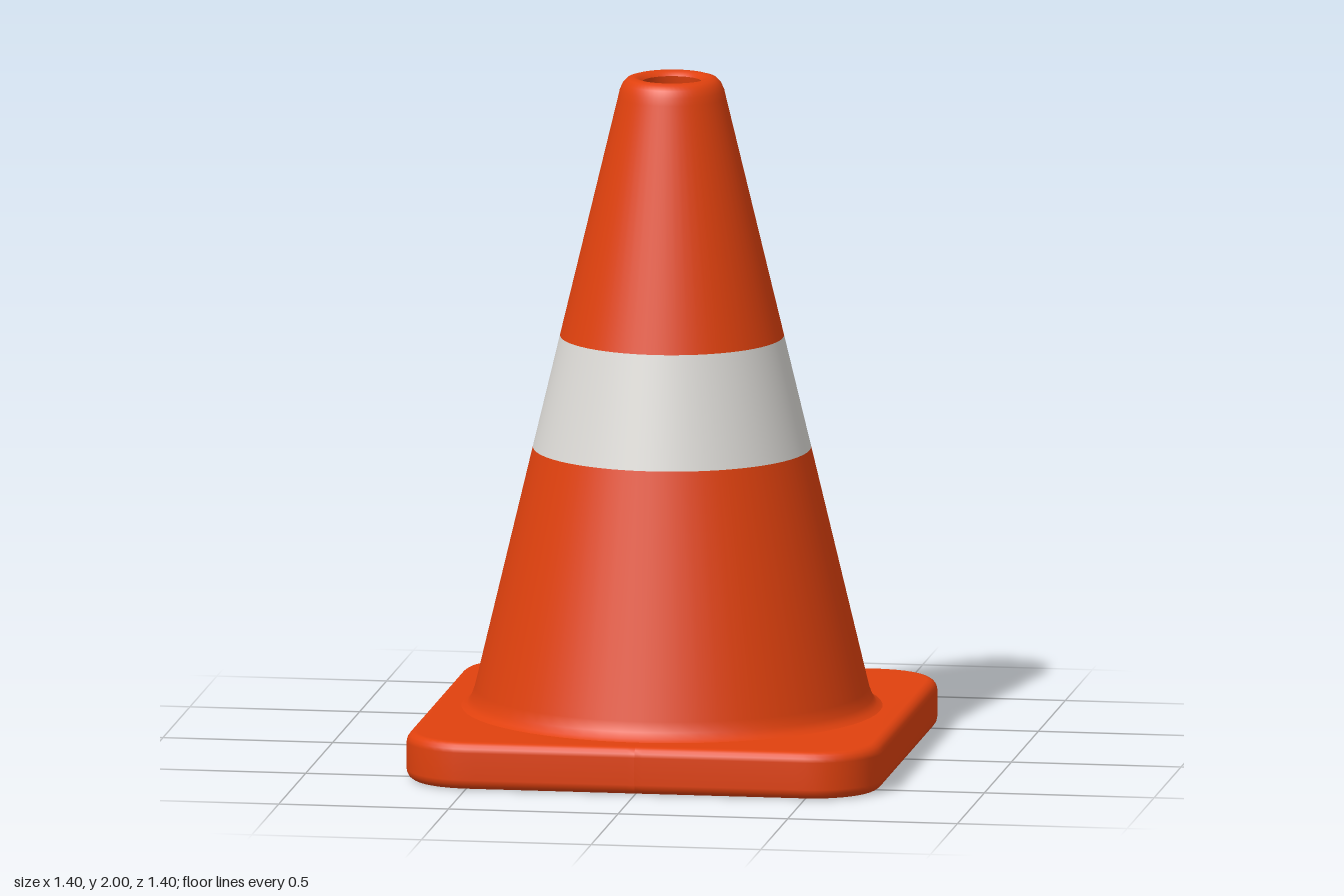
import * as THREE from 'three';

const SEGMENTS = 64;

// Distance from the centre to the edge of a rounded square (half width h, corner radius rc)
function roundedSquareRadius(angle, h, rc) {
  const a = Math.abs(Math.cos(angle)), b = Math.abs(Math.sin(angle));
  const u = Math.max(a, b), v = Math.min(a, b), c = h - rc;
  if (h * v / u <= c) return h / u;
  const s = c * (u + v);
  return s + Math.sqrt(s * s - 2 * c * c + rc * rc);
}

function lathe(points, segments = SEGMENTS) {
  return new THREE.LatheGeometry(points.map(([x, y]) => new THREE.Vector2(x, y)), segments);
}

// Square foot: a lathed slab whose outer rings are pushed out to a rounded square
function baseGeometry() {
  const half = 0.7, bevel = 0.03, height = 0.14;
  const profile = [[0.545, 0], [half - bevel, 0]];
  for (let i = 1; i <= 4; i++) {
    const t = i / 4 * Math.PI / 2;
    profile.push([half - bevel + bevel * Math.sin(t), bevel - bevel * Math.cos(t)]);
  }
  for (let i = 0; i <= 4; i++) {
    const t = i / 4 * Math.PI / 2;
    profile.push([half - bevel + bevel * Math.cos(t), height - bevel + bevel * Math.sin(t)]);
  }
  profile.push([0.58, height]);
  const geometry = lathe(profile, 192);
  const p = geometry.attributes.position;
  for (let i = 0; i < p.count; i++) {
    const x = p.getX(i), z = p.getZ(i), r = Math.hypot(x, z);
    if (r < 0.65) continue;
    const k = roundedSquareRadius(Math.atan2(z, x), r, 0.2 - (half - r)) / r;
    p.setX(i, x * k);
    p.setZ(i, z * k);
  }
  geometry.computeVertexNormals();
  return geometry;
}

export function createModel() {
  const orange = new THREE.MeshStandardMaterial({ color: 0xe0410e });
  orange.name = 'safety orange';
  const white = new THREE.MeshStandardMaterial({ color: 0xdcdad6 });
  white.name = 'band white';

  const group = new THREE.Group();
  group.name = 'trafficCone';
  const add = (name, geometry, material) => {
    const mesh = new THREE.Mesh(geometry, material);
    mesh.name = name;
    group.add(mesh);
  };

  add('base', baseGeometry(), orange);

  // Outer wall in three bands, the lowest flaring into the base
  add('lowerCone', lathe([[0.615, 0.139], [0.597, 0.148], [0.585, 0.165], [0.574, 0.195], [0.405, 0.905]]), orange);
  add('reflectiveBand', lathe([[0.405, 0.905], [0.326, 1.235]]), white);
  add('upperCone', lathe([
    [0.326, 1.235], [0.157, 1.94], [0.152, 1.962], [0.143, 1.982], [0.13, 1.995], [0.113, 2], [0.097, 1.996], [0.087, 1.985],
  ]), orange);

  // Hollow inside, open at both ends
  add('innerWall', lathe([[0.087, 1.985], [0.1, 1.9], [0.515, 0.14], [0.545, 0]]), orange);

  return group;
}
